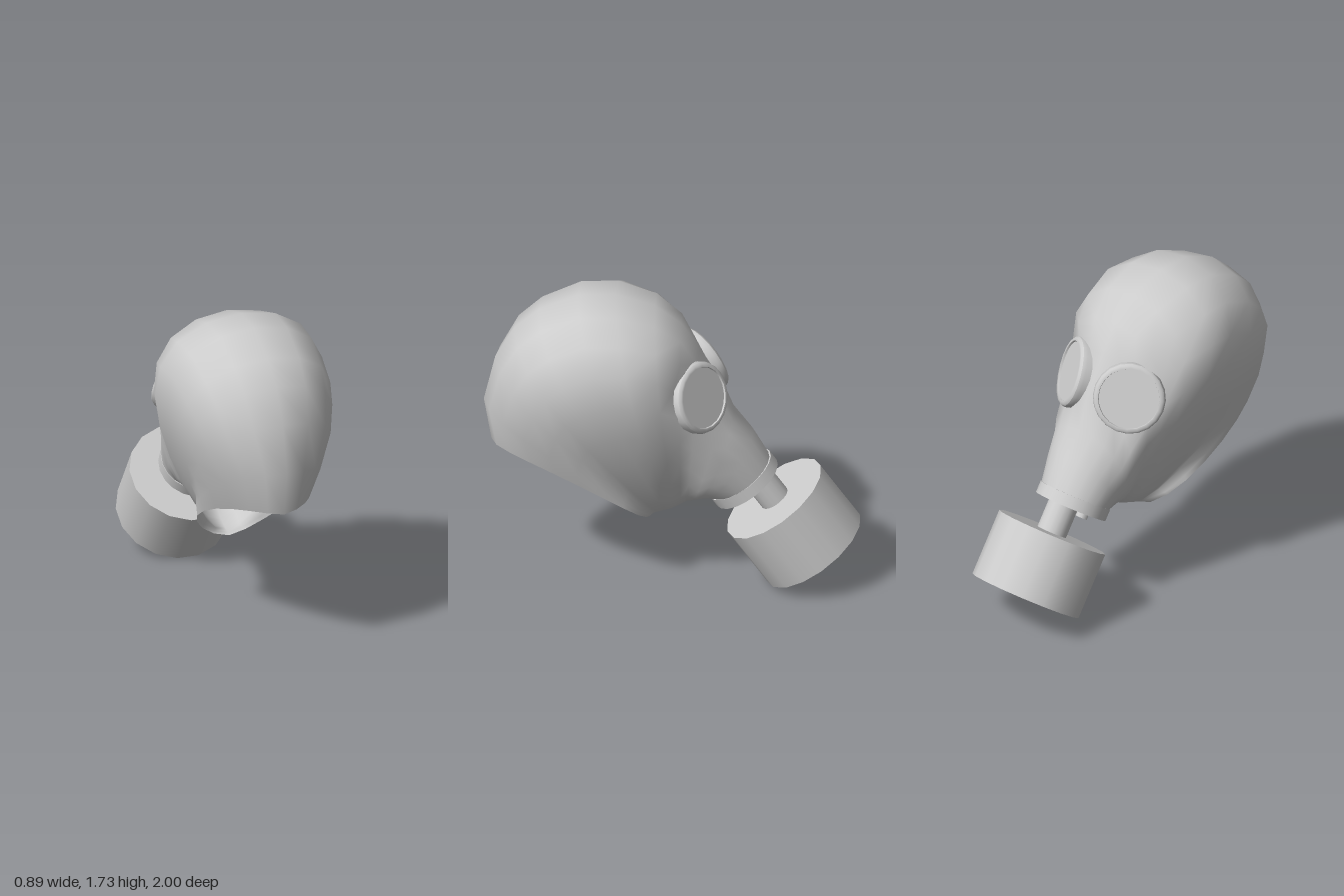
import * as THREE from 'three';

const grey = new THREE.MeshStandardMaterial({ color: 0xcccccc });
const greyOpen = new THREE.MeshStandardMaterial({ color: 0xcccccc, side: THREE.DoubleSide });

const TILT = 0.607; // lean of the filter axis
const EYE = new THREE.Vector3(0.215, 1.23, -0.175);
const EYE_NORMAL = new THREE.Vector3(0.58, 0.33, -0.74).normalize();

// Hood sections, from neck rim to snout:
// outer z, outer y, chin z, chin y, half width, egg skew, bow
const SECTIONS = [
  [0.96, 0.835, 0.12, 0.38, 0.28, -0.05, 0.115],
  [1.0, 1.08, 0.10, 0.387, 0.31, 0.15, 0.08],
  [0.94, 1.34, 0.08, 0.395, 0.36, 0.42, 0.045],
  [0.84, 1.52, 0.06, 0.402, 0.395, 0.45, 0.02],
  [0.71, 1.635, 0.04, 0.41, 0.42, 0.45, 0],
  [0.50, 1.73, 0.02, 0.417, 0.437, 0.45, 0],
  [0.30, 1.735, 0.0, 0.425, 0.45, 0.45, 0],
  [0.09, 1.67, -0.02, 0.435, 0.405, 0.45, 0],
  [-0.05, 1.56, -0.05, 0.455, 0.35, 0.4, 0],
  [-0.15, 1.41, -0.08, 0.475, 0.305, 0.33, 0],
  [-0.28, 1.18, -0.11, 0.487, 0.27, 0.2, 0],
  [-0.33, 1.02, -0.14, 0.502, 0.248, 0.12, 0],
  [-0.43, 0.89, -0.17, 0.515, 0.222, 0.05, 0],
  [-0.52, 0.735, -0.205, 0.52, 0.197, 0, 0],
];

function sectionPoint([tz, ty, bz, by, w, skew, bow], a) {
  const s = (1 - Math.cos(a)) / 2;
  const dz = bz - tz, dy = by - ty, len = Math.hypot(dz, dy);
  const lift = (bow * Math.abs(Math.sin(a)) ** 1.5) / len;
  return new THREE.Vector3(
    w * Math.sin(a + skew * Math.sin(a)),
    ty + dy * s - dz * lift,
    tz + dz * s + dy * lift
  );
}

// Press the hood flat behind each eyepiece
function seatEye(p) {
  const side = p.x < 0 ? -1 : 1;
  const q = new THREE.Vector3(p.x * side, p.y, p.z).sub(EYE);
  const depth = q.dot(EYE_NORMAL);
  const radius = Math.sqrt(Math.max(0, q.lengthSq() - depth * depth));
  if (radius < 0.23 && depth > -0.04) {
    q.addScaledVector(EYE_NORMAL, -0.04 - depth).add(EYE);
    p.set(Math.max(0, q.x) * side, q.y, q.z);
  }
  return p;
}

function hoodGeometry(around = 20) {
  const pos = [], index = [];
  SECTIONS.forEach((section, i) => {
    for (let j = 0; j < around; j++) {
      pos.push(...seatEye(sectionPoint(section, (j / around) * Math.PI * 2)).toArray());
      if (i === SECTIONS.length - 1) continue;
      const p = i * around + j, q = i * around + ((j + 1) % around);
      index.push(p, q, p + around, q, q + around, p + around);
    }
  });
  const g = new THREE.BufferGeometry();
  g.setAttribute('position', new THREE.Float32BufferAttribute(pos, 3));
  g.setIndex(index);
  g.computeVertexNormals();
  return g;
}

// Cylinder on the tilted filter axis, centred at (0, y, z)
function tiltedCylinder(name, radius, height, y, z, sides, spin = 0) {
  const m = new THREE.Mesh(new THREE.CylinderGeometry(radius, radius, height, sides), grey);
  m.name = name;
  m.position.set(0, y, z);
  m.rotation.set(TILT, spin, 0);
  return m;
}

// Eyepiece: rim turned on its axis, with a flat lens set just inside
function eyepiece(side) {
  const g = new THREE.Group();
  g.name = side > 0 ? 'leftEyepiece' : 'rightEyepiece';
  const wall = [[0.19, -0.085], [0.195, -0.03], [0.19, -0.008]];
  const lip = [[0.19, -0.008], [0.18, 0.004], [0.165, 0.004]];
  const inner = [[0.165, 0.004], [0.163, -0.006]];
  for (const profile of [wall, lip, inner]) {
    const pts = profile.map(([r, h]) => new THREE.Vector2(r, h));
    const rim = new THREE.Mesh(new THREE.LatheGeometry(pts, 20), greyOpen);
    rim.name = 'eyeRim';
    g.add(rim);
  }
  const lens = new THREE.Mesh(new THREE.CylinderGeometry(0.165, 0.165, 0.012, 20), grey);
  lens.name = 'lens';
  lens.position.y = -0.012;
  g.add(lens);
  g.position.set(EYE.x * side, EYE.y, EYE.z);
  const n = new THREE.Vector3(EYE_NORMAL.x * side, EYE_NORMAL.y, EYE_NORMAL.z);
  g.quaternion.setFromUnitVectors(new THREE.Vector3(0, 1, 0), n);
  return g;
}

export function createModel() {
  const model = new THREE.Group();
  model.name = 'gasMask';

  const hood = new THREE.Mesh(hoodGeometry(), greyOpen);
  hood.name = 'hood';
  model.add(hood, eyepiece(1), eyepiece(-1));

  // Snout collar, pipe, filter canister and outlet valve
  model.add(
    tiltedCylinder('collar', 0.2, 0.065, 0.603, -0.38, 20),
    tiltedCylinder('filterPipe', 0.083, 0.19, 0.553, -0.498, 16),
    tiltedCylinder('filterCanister', 0.306, 0.368, 0.329, -0.6475, 16, Math.PI / 16),
    tiltedCylinder('valveStem', 0.024, 0.06, 0.505, -0.294, 10),
    tiltedCylinder('valveCap', 0.034, 0.025, 0.482, -0.31, 10)
  );
  return model;
}
